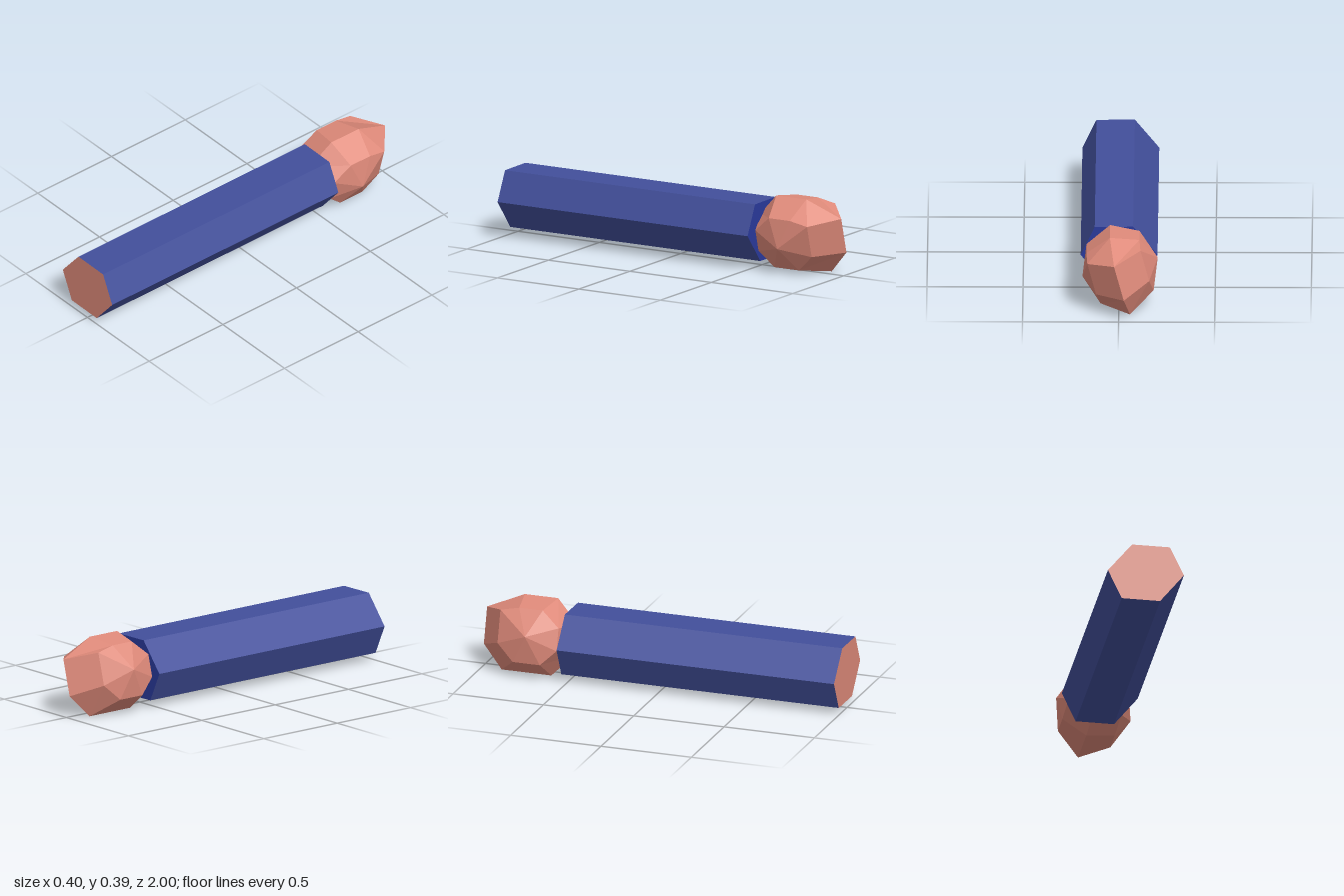
import * as THREE from 'three';

const mat = (name, color) => Object.assign(new THREE.MeshStandardMaterial({ color, flatShading: true }), { name });

export function createModel() {
  const pink = mat('coral pink', 0xdf8a7a);
  const blue = mat('muted blue', 0x424f9b);
  const deepBlue = mat('deep blue', 0x2a3a9c);

  const model = new THREE.Group();
  const add = (name, geometry, material) => {
    const mesh = new THREE.Mesh(geometry, material);
    mesh.name = name;
    model.add(mesh);
    return mesh;
  };

  // Hexagonal stick, with a thin coloured slice at its front end
  const hexagon = new THREE.Shape([
    [0.2, 0.195], [0.127, 0.351], [-0.073, 0.353],
    [-0.2, 0.197], [-0.127, 0.041], [0.075, 0.039],
  ].map(([x, y]) => new THREE.Vector2(x, y)));
  const prism = (depth) => new THREE.ExtrudeGeometry(hexagon, { depth, bevelEnabled: false });
  add('stick', prism(1.53), [deepBlue, blue]).position.z = -0.535;
  add('stickFrontEnd', prism(0.005), [pink, blue]).position.z = 0.995;

  // Faceted head: rings of [height, z] around a sideways axis, closed by two poles
  const pole = Array(8).fill([0, -0.71]);
  const small = [
    [0.143, -0.645], [0.143, -0.775], [0.121, -0.877], [-0.054, -0.877],
    [-0.143, -0.785], [-0.143, -0.635], [-0.06, -0.55], [0.06, -0.55],
  ];
  const middle = [
    [0.203, -0.615], [0.203, -0.8], [0.115, -1], [-0.08, -1],
    [-0.203, -0.89], [-0.203, -0.615], [-0.084, -0.5], [0.084, -0.5],
  ];
  const rings = [[0.203, pole], [0.143, small], [0, middle], [-0.143, small], [-0.203, pole]];
  const tilt = Math.PI / 12, c = Math.cos(tilt), s = Math.sin(tilt);
  const point = (ring, i) => {
    const [u, outline] = rings[ring];
    const [v, z] = outline[i % 8];
    return [-0.006 + u * c + v * s, 0.1975 - u * s + v * c, z];
  };
  const positions = [];
  for (let r = 0; r < 4; r++) {
    for (let i = 0; i < 8; i++) {
      if (r > 0) positions.push(...point(r, i), ...point(r, i + 1), ...point(r + 1, i));
      if (r < 3) positions.push(...point(r, i + 1), ...point(r + 1, i + 1), ...point(r + 1, i));
    }
  }
  // The last ring ends in a fan to the far pole
  const head = new THREE.BufferGeometry();
  head.setAttribute('position', new THREE.Float32BufferAttribute(positions, 3));
  head.computeVertexNormals();
  add('head', head, pink);

  return model;
}
